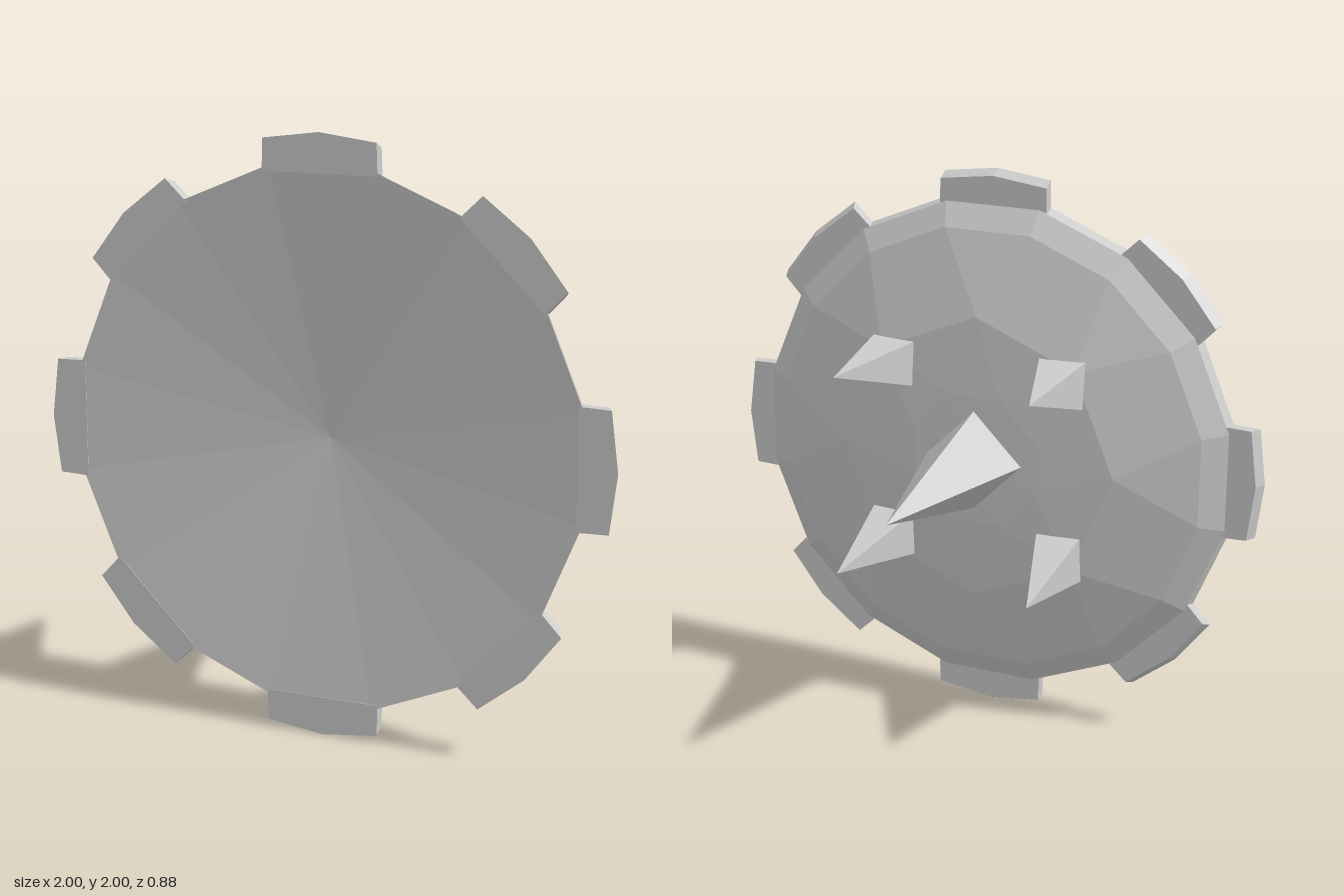
import * as THREE from 'three';

const CY = 1; // height of the disc centre

// One ring of points around the disc axis; offset is in steps of the ring
function ring(r, z, n, offset) {
  return Array.from({ length: n }, (_, i) => {
    const a = ((i + offset) / n) * Math.PI * 2;
    return { a, p: [r * Math.cos(a), r * Math.sin(a), z] };
  });
}

// Joins two rings of any count with triangles facing -z (outer ring first)
function stitch(out, outer, inner) {
  const at = (rg, i) => rg[i % rg.length].p;
  const angle = (rg, i) => rg[i % rg.length].a + Math.floor(i / rg.length) * Math.PI * 2;
  let i = 0, j = 0;
  while (i < outer.length || j < inner.length) {
    const stepOuter = j >= inner.length ||
      (i < outer.length && angle(outer, i + 1) <= angle(inner, j + 1) + 1e-6);
    if (stepOuter) {
      out.push(...at(outer, i + 1), ...at(outer, i), ...at(inner, j));
      i++;
    } else {
      out.push(...at(outer, i), ...at(inner, j), ...at(inner, j + 1));
      j++;
    }
  }
}

function faceted(positions) {
  const g = new THREE.BufferGeometry();
  g.setAttribute('position', new THREE.Float32BufferAttribute(positions, 3));
  g.computeVertexNormals();
  return g;
}

// Four-sided spike pointing to -z, its tip shifted sideways by (dx, dy)
function spikeGeometry(radius, baseZ, tipZ, turn, dx = 0, dy = 0) {
  const h = baseZ - tipZ;
  const g = new THREE.ConeGeometry(radius, h, 4, 1);
  g.rotateY(turn).rotateX(-Math.PI / 2).translate(0, 0, baseZ - h / 2);
  const p = g.attributes.position;
  for (let i = 0; i < p.count; i++) {
    const t = (baseZ - p.getZ(i)) / h;
    p.setXY(i, p.getX(i) + dx * t, p.getY(i) + dy * t);
  }
  g.computeVertexNormals();
  return g;
}

export function createModel() {
  const model = new THREE.Group();
  model.name = 'spikedShield';
  const metal = new THREE.MeshStandardMaterial({ color: 0xcccccc, flatShading: true });
  metal.name = 'grey metal';

  const add = (name, geometry, x = 0, y = 0) => {
    const mesh = new THREE.Mesh(geometry, metal);
    mesh.name = name;
    mesh.position.set(x, CY + y, 0);
    model.add(mesh);
    return mesh;
  };

  // Faceted dome bulging to the back
  const rings = [
    ring(0.907, 0.44, 16, 0.5),
    ring(0.895, 0.4, 16, 0.5),
    ring(0.812, 0.352, 16, 0.5),
    ring(0.515, 0.265, 8, 0),
    ring(0.25, 0.25, 8, 0.5),
  ];
  const dome = [];
  for (let k = 0; k + 1 < rings.length; k++) stitch(dome, rings[k], rings[k + 1]);
  const last = rings[rings.length - 1];
  last.forEach((v, i) => dome.push(...last[(i + 1) % last.length].p, ...v.p, 0, 0, 0.246));
  add('dome', faceted(dome));

  // Shallow hollow on the front
  const hollow = [];
  const rim = rings[0];
  rim.forEach((v, i) => hollow.push(...v.p, ...rim[(i + 1) % rim.length].p, 0, 0, 0.36));
  add('frontHollow', faceted(hollow));

  // Eight rim plates, outer edge slightly bevelled towards the back
  const outline = [[-0.2, 0.87], [0.2, 0.87], [0.197, 0.975], [0, 1], [-0.197, 0.975]];
  const plate = new THREE.ExtrudeGeometry(
    new THREE.Shape(outline.map(([x, y]) => new THREE.Vector2(x, y))),
    { depth: 0.04, bevelEnabled: false });
  plate.translate(0, 0, 0.4);
  const pp = plate.attributes.position;
  for (let i = 0; i < pp.count; i++) {
    if (pp.getZ(i) < 0.42 && pp.getY(i) > 0.9) pp.setY(i, pp.getY(i) - 0.02);
  }
  plate.computeVertexNormals();
  for (let k = 0; k < 8; k++) add('rimPlate', plate).rotation.z = (k * Math.PI) / 4;

  // Large spike in the middle
  add('centreSpike', spikeGeometry(0.182, 0.255, -0.44, 0));

  // Four small spikes leaning outwards
  for (const sx of [-1, 1]) {
    for (const sy of [-1, 1]) {
      const g = spikeGeometry(0.085 * Math.SQRT2, 0.282, -0.11, Math.PI / 4, sx * 0.042, sy * 0.042);
      add('smallSpike', g, sx * 0.316, sy * 0.316);
    }
  }
  return model;
}
